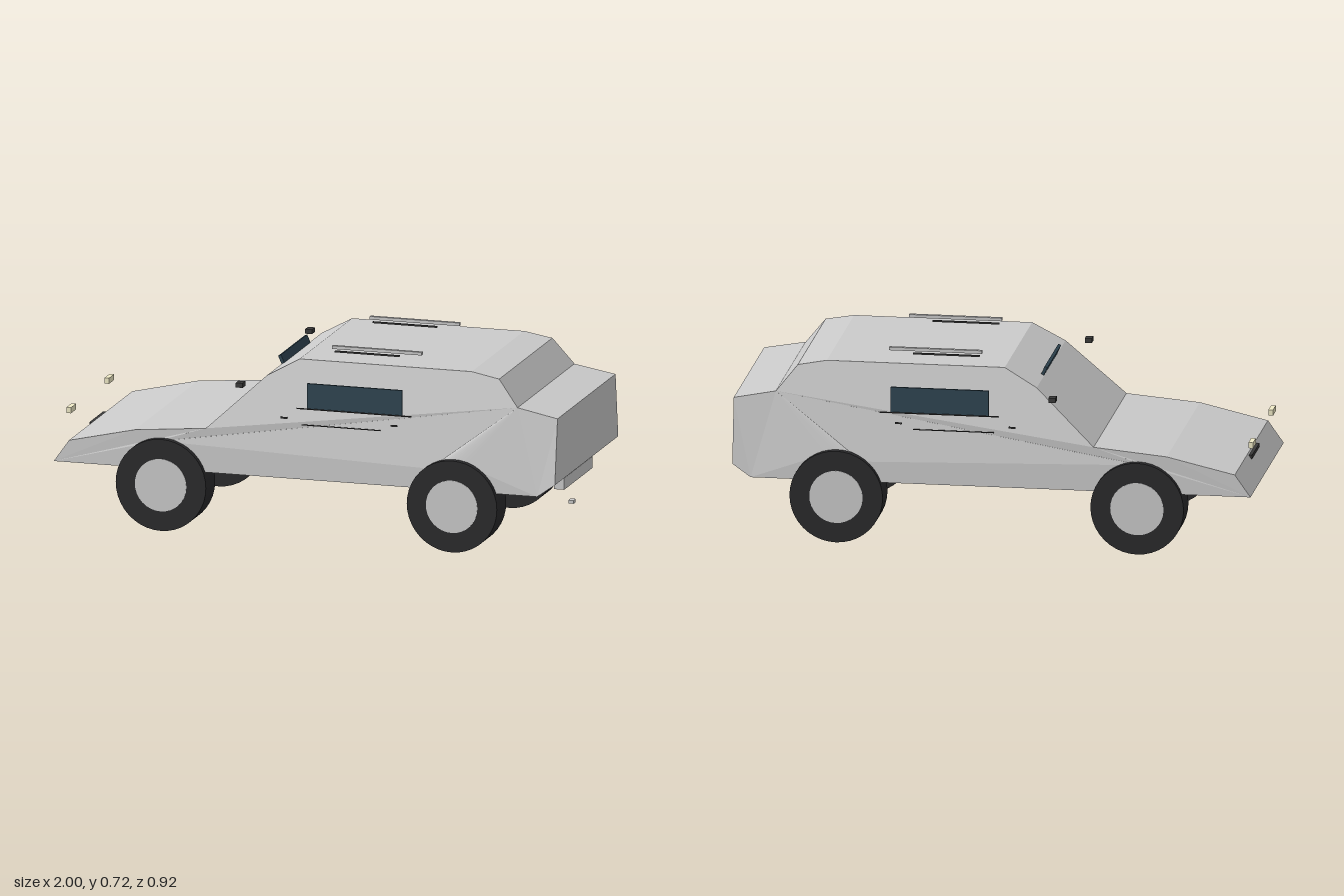
import * as THREE from 'three';

const mat = (color, extra = {}) => new THREE.MeshStandardMaterial({ color, ...extra });
const grey = mat(0xcccccc);
const bodyGrey = mat(0xcccccc, { flatShading: true });
const rubber = mat(0x2a2a2c);
const glass = mat(0x2f4552);
const dark = mat(0x3a3a3a);
const cream = mat(0xf2ecc8);

const FLOOR = 0.235, WHEEL_Y = 0.178, ARCH_R = 0.165;
const AXLES = [-0.57, 0.58];

export function createModel() {
  const car = new THREE.Group();
  car.name = 'car';

  const add = (name, geometry, material, x, y, z) => {
    const mesh = new THREE.Mesh(geometry, material);
    mesh.name = name;
    mesh.position.set(x, y, z);
    car.add(mesh);
    return mesh;
  };
  const box = (name, size, material, x, y, z) =>
    add(name, new THREE.BoxGeometry(...size), material, x, y, z);

  // Body shell: side profile with wheel arches cut across the floor
  const profile = new THREE.Shape();
  profile.moveTo(-1, FLOOR);
  [
    [-0.94, 0.32], [-0.68, 0.38], [-0.4, 0.405], [-0.175, 0.615], [-0.05, 0.685],
    [0.63, 0.685], [0.74, 0.665], [0.82, 0.565], [0.98, 0.535], [0.98, 0.285], [0.91, FLOOR],
  ].forEach(([x, y]) => profile.lineTo(x, y));
  const a = Math.asin((FLOOR - WHEEL_Y) / ARCH_R);
  for (const x of [...AXLES].reverse()) {
    profile.absarc(x, WHEEL_Y, ARCH_R, a, Math.PI - a, false);
  }
  profile.closePath();
  const shell = new THREE.ExtrudeGeometry(profile, { depth: 2, bevelEnabled: false, curveSegments: 14 });
  shell.translate(0, 0, -1);

  // Lean the upper sides inwards
  const p = shell.attributes.position;
  for (let i = 0; i < p.count; i++) {
    const half = 0.405 - Math.max(0, p.getY(i) - 0.39) * 0.237;
    p.setZ(i, p.getZ(i) * half);
  }
  shell.computeVertexNormals();
  add('body', shell, bodyGrey, 0, 0, 0);

  // Wheels with hubs showing on both faces
  const tyre = new THREE.CylinderGeometry(WHEEL_Y, WHEEL_Y, 0.12, 40).rotateX(Math.PI / 2);
  const hub = new THREE.CylinderGeometry(0.102, 0.102, 0.124, 32).rotateX(Math.PI / 2);

  for (const side of [1, -1]) {
    for (const x of AXLES) {
      add('tyre', tyre, rubber, x, WHEEL_Y, side * 0.368);
      add('hub', hub, grey, x, WHEEL_Y, side * 0.368);
    }
    // Side window, sill trim, handles and door line
    box('sideWindow', [0.375, 0.097, 0.009], glass, 0.188, 0.56, side * 0.399);
    box('windowTrim', [0.455, 0.004, 0.004], dark, 0.188, 0.511, side * 0.41);
    for (const x of [-0.09, 0.345]) {
      box('doorHandle', [0.026, 0.006, 0.006], dark, x, 0.47, side * 0.408);
    }
    box('doorLine', [0.31, 0.003, 0.004], dark, 0.135, 0.447, side * 0.405);
    // Mirror, roof rail and headlight
    box('mirror', [0.027, 0.018, 0.036], dark, -0.25, 0.597, side * 0.444);
    box('roofRail', [0.355, 0.012, 0.015], grey, 0.228, 0.717, side * 0.242);
    box('railSupport', [0.255, 0.006, 0.007], dark, 0.188, 0.7, side * 0.241);
    box('headlight', [0.018, 0.022, 0.066], cream, -0.981, 0.403, side * 0.243);
  }

  // Windscreen strip
  box('windscreen', [0.012, 0.07, 0.335], glass, -0.168, 0.617, -0.003).rotation.z = 0.42;

  // Bumpers, grille and exhaust
  box('frontBumper', [0.04, 0.042, 0.36], grey, -0.95, 0.236, 0);
  box('rearBumper', [0.04, 0.045, 0.364], grey, 0.928, 0.235, 0);
  box('grille', [0.012, 0.014, 0.18], dark, -0.951, 0.308, 0);
  box('exhaust', [0.02, 0.013, 0.028], grey, 0.988, 0.178, 0.21);

  return car;
}
